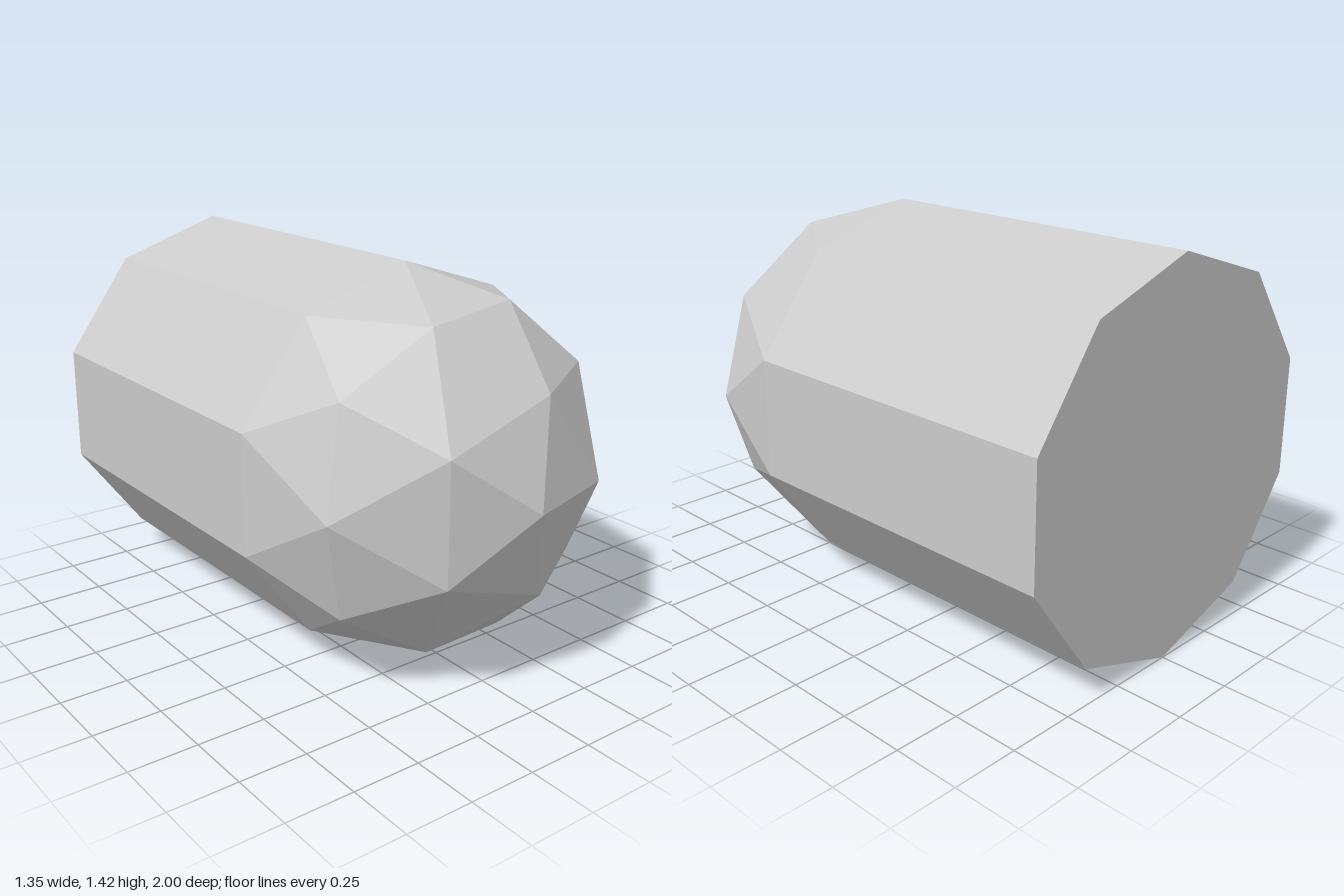
import * as THREE from 'three';

const R = 0.71;       // body and nose radius
const SEAM_Z = 0.29;  // where the nose meets the body
const BACK_Z = -1;

// Half of a once-subdivided icosahedron, pole facing +z
function noseGeometry() {
  const point = (deg, h) => {
    const a = THREE.MathUtils.degToRad(deg), r = Math.sqrt(1 - h * h);
    return [R * r * Math.cos(a), R * r * Math.sin(a), R * h];
  };
  const pole = [0, 0, R];
  const inner = (i) => point(72 * i, 0.8507);
  const middle = (j) => point(36 * j, j % 2 ? 0.5257 : 0.4472);
  const rim = (j) => point(36 * j + 18, 0);

  const pos = [];
  const tri = (...corners) => corners.forEach((c) => pos.push(...c));
  for (let i = 0; i < 5; i++) {
    const a = inner(i), b = inner(i + 1), m = middle(2 * i + 1);
    tri(pole, a, b);
    tri(a, middle(2 * i), m);
    tri(a, m, b);
    tri(b, m, middle(2 * i + 2));
  }
  for (let j = 0; j < 10; j++) {
    tri(middle(j), rim(j), middle(j + 1));
    tri(rim(j), rim(j + 1), middle(j + 1));
  }
  const geometry = new THREE.BufferGeometry();
  geometry.setAttribute('position', new THREE.Float32BufferAttribute(pos, 3));
  geometry.computeVertexNormals();
  return geometry;
}

export function createModel() {
  const group = new THREE.Group();
  group.name = 'roundNosedCylinder';
  const material = new THREE.MeshStandardMaterial({ color: 0xcccccc, flatShading: true });
  const add = (name, geometry, z) => {
    const mesh = new THREE.Mesh(geometry, material);
    mesh.name = name;
    mesh.position.set(0, R, z);
    group.add(mesh);
  };

  // Faceted dome at the front
  add('nose', noseGeometry(), SEAM_Z);

  // Ten-sided body, open at both ends
  const body = new THREE.CylinderGeometry(R, R, SEAM_Z - BACK_Z, 10, 1, true).rotateX(Math.PI / 2);
  add('body', body, (SEAM_Z + BACK_Z) / 2);

  // Flat back end
  add('backCap', new THREE.CircleGeometry(R, 10, Math.PI / 2).rotateY(Math.PI), BACK_Z);

  return group;
}
